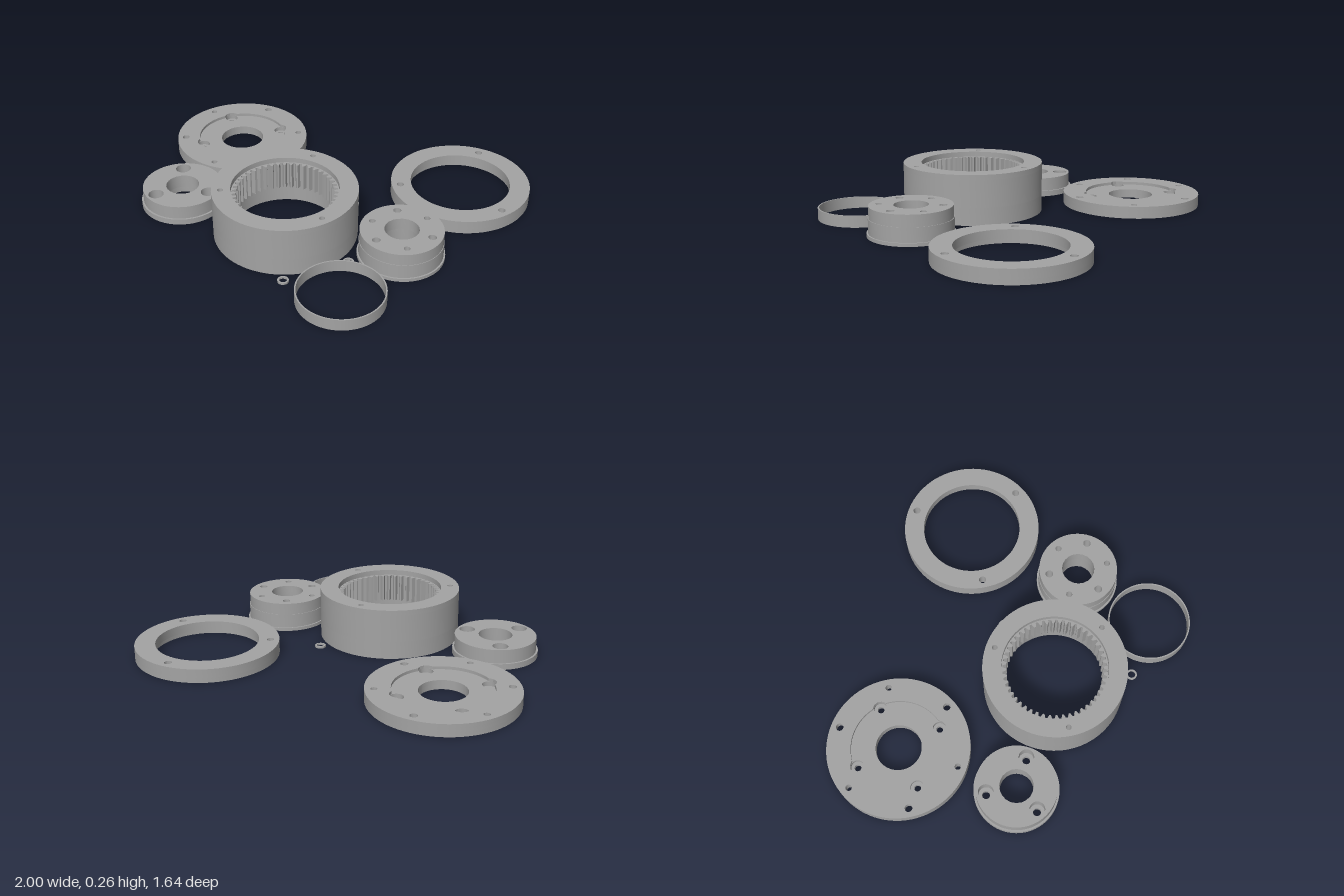
import * as THREE from 'three';
import { toCreasedNormals } from 'three/addons/utils/BufferGeometryUtils.js';

const steel = new THREE.MeshStandardMaterial({ color: 0xa3a3a3 });
steel.name = 'steel grey';

// Points of a circle in plan, centred on (x, z)
function circle(r, x = 0, z = 0) {
  const n = r > 0.1 ? 80 : 20;
  return Array.from({ length: n }, (_, i) => {
    const a = (i / n) * Math.PI * 2;
    return new THREE.Vector2(x + r * Math.cos(a), -z + r * Math.sin(a));
  });
}

// Bores evenly spaced on a bolt circle; angles in degrees, 90 is towards +z
function bolts(r, pitch, angles) {
  return angles.map((d) => {
    const a = THREE.MathUtils.degToRad(d);
    return circle(r, pitch * Math.cos(a), pitch * Math.sin(a));
  });
}

// Outline of an internal gear
function gearOutline(root, tip, teeth) {
  const pts = [];
  const step = (Math.PI * 2) / teeth;
  for (let i = 0; i < teeth; i++) {
    for (const [f, r] of [[0, root], [0.3, root], [0.52, tip], [0.78, tip]]) {
      const a = (i + f) * step;
      pts.push(new THREE.Vector2(r * Math.cos(a), r * Math.sin(a)));
    }
  }
  return pts;
}

// Flat disc of radius r from y0 to y1, pierced by the given outlines
function layer(name, r, y0, y1, holes) {
  const shape = new THREE.Shape(circle(r));
  holes.forEach((h) => shape.holes.push(new THREE.Path(h)));
  const geo = new THREE.ExtrudeGeometry(shape, { depth: y1 - y0, bevelEnabled: false });
  geo.rotateX(-Math.PI / 2);
  geo.translate(0, y0, 0);
  const mesh = new THREE.Mesh(toCreasedNormals(geo, 0.42), steel);
  mesh.name = name;
  return mesh;
}

function part(name, x, z, ...layers) {
  const g = new THREE.Group();
  g.name = name;
  g.position.set(x, 0, z);
  g.add(...layers);
  return g;
}

export function createModel() {
  const model = new THREE.Group();
  model.name = 'planetaryGearboxParts';
  const three = [-90, 30, 150];
  const otherThree = [-30, 90, 210];
  const square = [45, 135, 225, 315];

  // Motor plate: screw heads sink in from below, motor screws from above
  const plain = bolts(0.016, 0.317, otherThree);
  const screws = bolts(0.019, 0.317, three);
  const motor = bolts(0.017, 0.226, square);
  const bore = circle(0.116);
  // Shallow round recess whose rim is notched by the four counterbores
  const rim = circle(0.24).map((p) => {
    const off = Math.min(...square.map((d) => {
      const a = THREE.MathUtils.degToRad(d);
      return Math.abs(Math.atan2(Math.sin(p.angle() - a), Math.cos(p.angle() - a)));
    }));
    const s = 0.226 * Math.sin(off);
    return s < 0.034 ? p.clone().setLength(Math.max(0.24, 0.226 + Math.sqrt(0.034 ** 2 - s * s))) : p;
  });
  model.add(part('motorPlate', -0.638, -0.4,
    layer('plateBottom', 0.362, 0, 0.025,
      [bore, ...plain, ...bolts(0.032, 0.317, three), ...motor]),
    layer('plateMiddle', 0.362, 0.025, 0.047,
      [bore, ...plain, ...screws, ...bolts(0.034, 0.226, square)]),
    layer('plateRim', 0.362, 0.047, 0.062, [rim, ...plain, ...screws])));

  // Cover ring with a small step in its lower bore
  const coverHoles = bolts(0.019, 0.317, three);
  model.add(part('coverRing', 0.633, -0.46,
    layer('coverBottom', 0.362, 0, 0.025, [circle(0.272), ...coverHoles]),
    layer('coverTop', 0.362, 0.025, 0.07, [circle(0.259), ...coverHoles])));

  // Ring gear housing: smooth bore, toothed band, shallow top seat
  const housingHoles = bolts(0.014, 0.317, three);
  model.add(part('ringGear', -0.048, 0.228,
    layer('housingBottom', 0.362, 0, 0.09, [circle(0.268), ...housingHoles]),
    layer('toothedBand', 0.362, 0.09, 0.23, [gearOutline(0.262, 0.242, 48), ...housingHoles]),
    layer('housingTop', 0.362, 0.23, 0.257, [circle(0.268), ...housingHoles])));

  // Lower planet carrier, with counterbored pin holes
  const carrierBore = circle(0.085);
  const pins = [0, 120, 240];
  const pinHoles = bolts(0.02, 0.154, pins);
  model.add(part('lowerCarrier', -0.645, 0.228,
    layer('carrierFlange', 0.215, 0, 0.03, [carrierBore, ...pinHoles]),
    layer('carrierBody', 0.205, 0.03, 0.1, [carrierBore, ...bolts(0.039, 0.154, pins)])));

  // Upper planet carrier, with six holes of two sizes
  const sixHoles = [carrierBore, ...bolts(0.02, 0.155, pins), ...bolts(0.016, 0.155, [60, 180, 300])];
  model.add(part('upperCarrier', 0.547, 0.167,
    layer('carrierFlange', 0.215, 0, 0.017, sixHoles),
    layer('carrierLowerBody', 0.207, 0.017, 0.09, sixHoles),
    layer('carrierUpperBody', 0.204, 0.09, 0.15, sixHoles)));

  // Thin bearing spacer
  model.add(part('bearingSpacer', 0.422, 0.602,
    layer('spacerBand', 0.214, 0, 0.06, [circle(0.207)])));

  // Small washers
  for (const [x, z] of [[0.173, -0.12], [0.345, 0.34], [0.125, 0.6]]) {
    model.add(part('washer', x, z, layer('washerRing', 0.0275, 0, 0.01, [circle(0.019)])));
  }
  return model;
}
